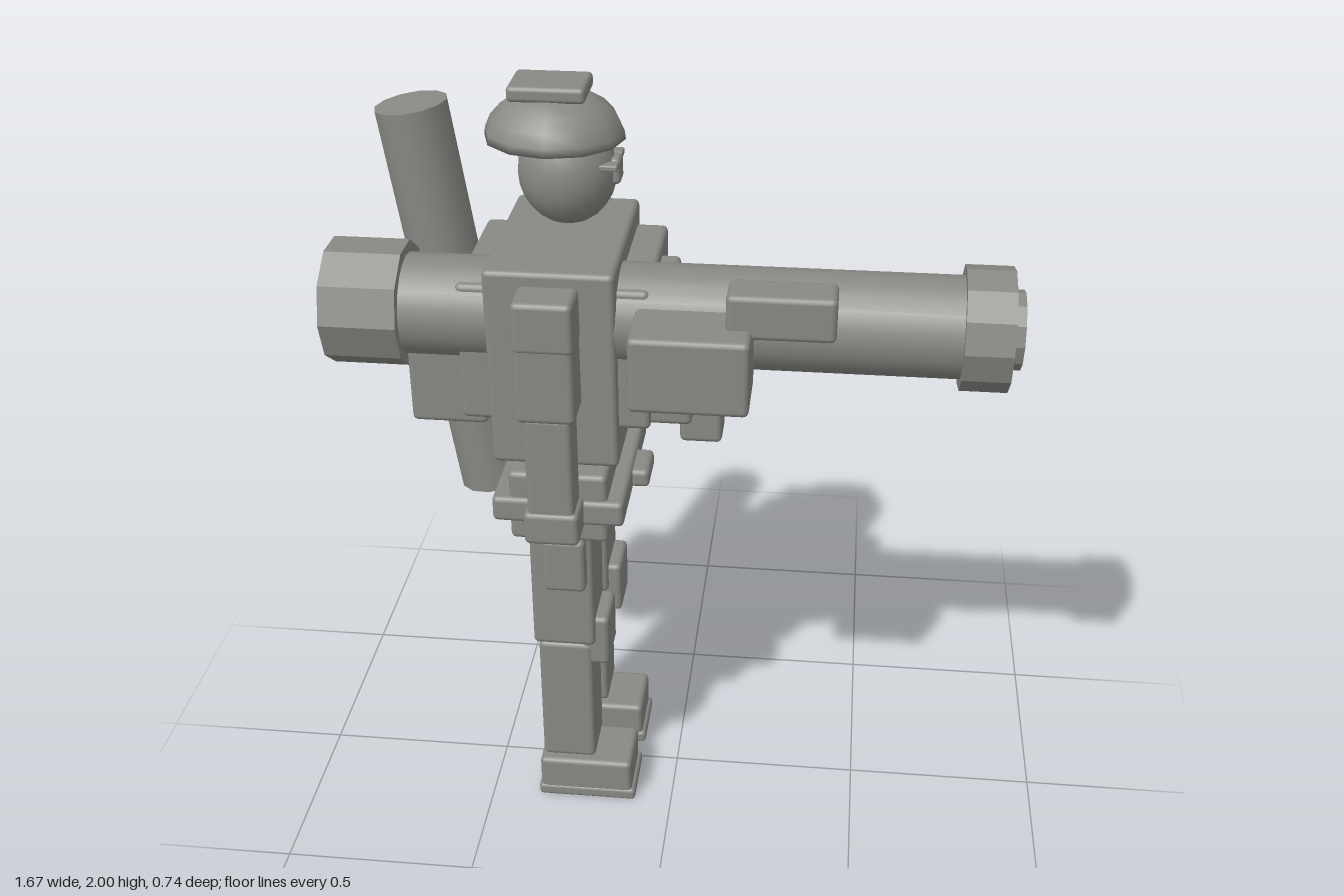
import * as THREE from 'three';
import { RoundedBoxGeometry } from 'three/addons/geometries/RoundedBoxGeometry.js';

export function createModel() {
  const model = new THREE.Group();
  model.name = 'launcherSoldier';
  const grey = new THREE.MeshStandardMaterial({ color: 0x888884 });
  grey.name = 'stone grey';
  const greyFaceted = new THREE.MeshStandardMaterial({ color: 0x888884, flatShading: true });
  greyFaceted.name = 'stone grey faceted';

  const add = (name, geometry, parent = model, material = grey) => {
    const mesh = new THREE.Mesh(geometry, material);
    mesh.name = name;
    parent.add(mesh);
    return mesh;
  };
  const group = (name) => {
    const g = new THREE.Group();
    g.name = name;
    model.add(g);
    return g;
  };
  // softly bevelled box given by its limits on each axis
  const block = (name, [x0, x1], [y0, y1], [z0, z1], parent = model) => {
    const w = x1 - x0, h = y1 - y0, d = z1 - z0;
    const r = Math.min(0.014, Math.min(w, h, d) * 0.3);
    const mesh = add(name, new RoundedBoxGeometry(w, h, d, 2, r), parent);
    mesh.position.set((x0 + x1) / 2, (y0 + y1) / 2, (z0 + z1) / 2);
    return mesh;
  };

  // the figure faces +x, its middle plane is at z = MID
  const MID = -0.022;

  // legs, mirrored about the middle plane
  for (const side of [1, -1]) {
    const leg = group(side > 0 ? 'rightLeg' : 'leftLeg');
    const c = MID + side * 0.126;
    const zs = (half) => [c - half, c + half];
    block('sole', [-0.37, -0.1], [0, 0.035], zs(0.088), leg);
    block('boot', [-0.365, -0.11], [0.02, 0.125], zs(0.085), leg);
    block('shin', [-0.355, -0.21], [0.135, 0.52], zs(0.074), leg);
    block('thigh', [-0.365, -0.2], [0.525, 0.878], zs(0.086), leg);
    block('kneePad', [-0.24, -0.165], [0.455, 0.605], zs(0.071), leg);
    const p = c + side * 0.09;
    block('thighPouch', [-0.325, -0.215], [0.72, 0.875], [p - 0.032, p + 0.032], leg);
  }

  // hips and belt
  block('hips', [-0.405, -0.155], [0.87, 1.065], [MID - 0.23, MID + 0.235]);
  block('belt', [-0.448, -0.113], [0.925, 0.995], [MID - 0.245, MID + 0.245]);
  block('buckle', [-0.125, -0.07], [0.935, 0.985], [MID - 0.062, MID + 0.062]);

  // torso, narrowing slightly towards the waist
  const torso = block('torso', [-0.44, -0.125], [1.09, 1.615], [MID - 0.25, MID + 0.245]);
  const tp = torso.geometry.attributes.position;
  for (let i = 0; i < tp.count; i++) {
    tp.setZ(i, tp.getZ(i) * (0.965 + 0.133 * tp.getY(i)));
  }

  // vest plates and pouches
  block('chestPlate', [-0.15, -0.048], [1.19, 1.56], [-0.238, 0.185]);
  block('backPlate', [-0.515, -0.42], [1.2, 1.56], [-0.233, 0.185]);
  for (const z of [-0.166, -0.028, 0.11]) {
    block('chestPouch', [-0.06, 0.052], [1.2, 1.355], [z - 0.06, z + 0.06]);
  }
  block('radio', [-0.06, 0], [1.43, 1.535], [-0.105, -0.02]);

  // arms, hanging straight down
  for (const side of [1, -1]) {
    const arm = group(side > 0 ? 'rightArm' : 'leftArm');
    const c = -0.027 + side * 0.285;
    const zs = (half, shift = 0) => [c - half + side * shift, c + half + side * shift];
    block('shoulderPad', [-0.355, -0.21], [1.45, 1.58], zs(0.063), arm);
    block('upperArm', [-0.355, -0.212], [1.265, 1.51], zs(0.06), arm);
    block('forearm', [-0.342, -0.225], [0.98, 1.27], zs(0.05, -0.008), arm);
    block('hand', [-0.352, -0.214], [0.915, 1.005], zs(0.053, -0.004), arm);
  }

  // head with nose and eyes
  const head = group('head');
  const skull = add('skull', new THREE.SphereGeometry(1, 20, 14), head);
  skull.scale.set(0.12, 0.132, 0.106);
  skull.position.set(-0.267, 1.78, MID);
  block('nose', [-0.175, -0.135], [1.755, 1.82], [MID - 0.03, MID + 0.03], head);
  for (const side of [1, -1]) {
    const c = MID + side * 0.049;
    block('eye', [-0.19, -0.137], [1.801, 1.817], [c - 0.018, c + 0.018], head);
  }

  // helmet: closed dome with a flat block on top
  const dome = [[0, 0], [1, 0], [0.985, 0.17], [0.9, 0.43], [0.75, 0.66], [0.54, 0.84], [0.28, 0.96], [0, 1]]
    .map(([r, y]) => new THREE.Vector2(r, y));
  const helmet = add('helmet', new THREE.LatheGeometry(dome, 12), head);
  helmet.scale.set(0.17, 0.12, 0.155);
  helmet.position.set(-0.295, 1.86, MID - 0.003);
  block('helmetTop', [-0.395, -0.21], [1.962, 2], [-0.096, 0.048], head);

  // shoulder launcher along x
  const launcher = group('launcher');
  const barrel = (name, x0, x1, r, sides, material) => {
    const g = new THREE.CylinderGeometry(r, r, x1 - x0, sides);
    g.rotateZ(-Math.PI / 2);
    add(name, g, launcher, material).position.set((x0 + x1) / 2, 1.463, 0.09);
  };
  barrel('tube', -0.7, 0.75, 0.125, 20, grey);
  barrel('rearBell', -0.838, -0.65, 0.155, 10, greyFaceted);
  barrel('muzzleRing', 0.69, 0.805, 0.151, 12, greyFaceted);
  barrel('muzzleCap', 0.8, 0.832, 0.096, 12, greyFaceted);
  block('sightBox', [-0.08, 0.202], [1.335, 1.525], [0.185, 0.365], launcher);
  block('scope', [0.14, 0.395], [1.5, 1.61], [0.185, 0.293], launcher);
  block('grip', [0.02, 0.125], [1.14, 1.38], [0.05, 0.145], launcher);
  block('shoulderRest', [-0.65, -0.458], [1.17, 1.4], [0.02, 0.16], launcher);

  // spare tube slung on the back, tilted
  const spare = add('spareTube', new THREE.CylinderGeometry(0.092, 0.092, 1.06, 12));
  spare.rotation.z = 0.145;
  spare.position.set(-0.593, 1.367, -0.139);

  return model;
}
